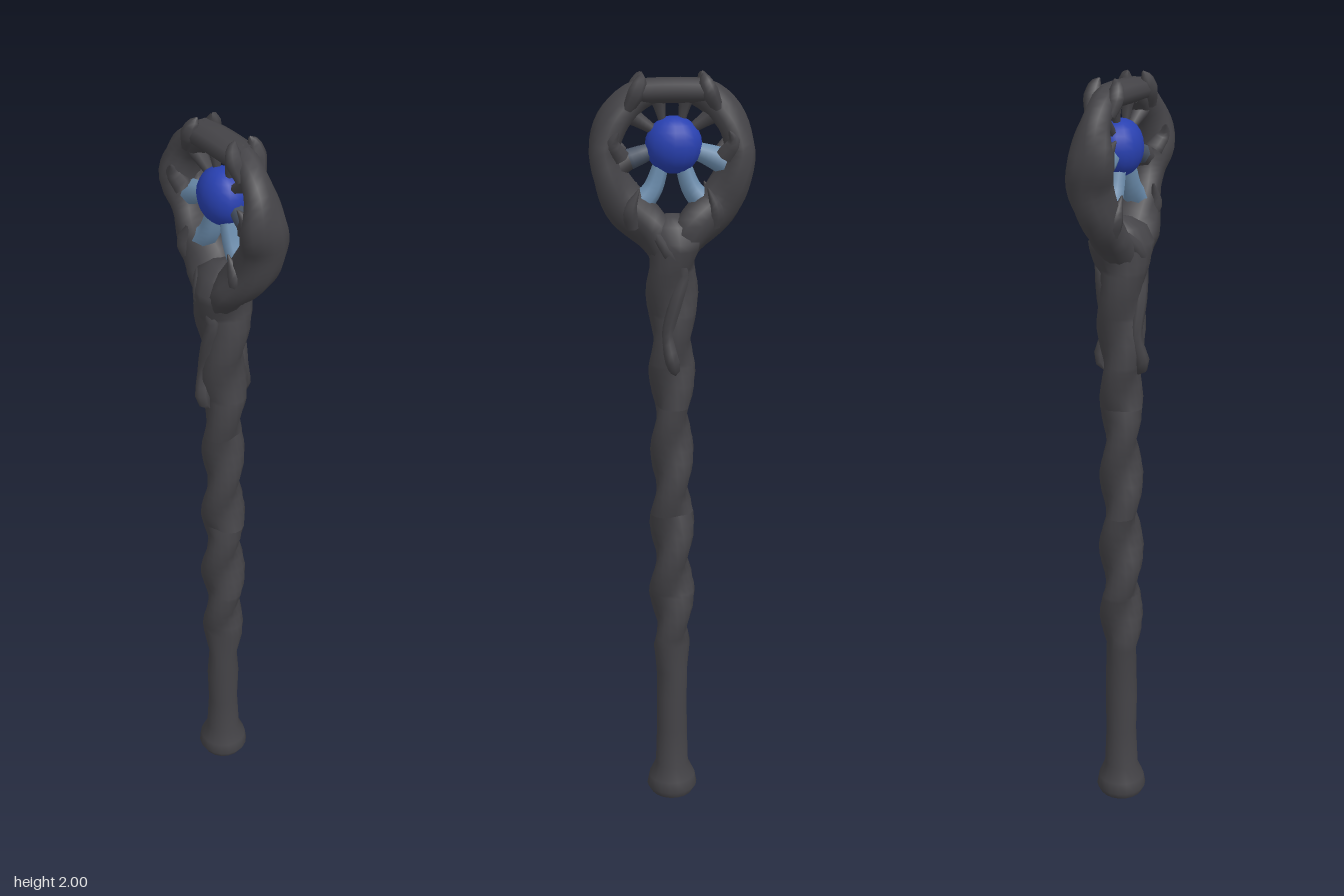
import * as THREE from 'three';
import { mergeVertices } from 'three/addons/utils/BufferGeometryUtils.js';

function material(name, color) {
  const m = new THREE.MeshStandardMaterial({ color });
  m.name = name;
  return m;
}
const wood = material('charred wood', 0x444347);
const sapphire = material('sapphire blue', 0x2840b0);
const crystal = material('pale crystal blue', 0x6a8bab);
const slate = material('slate blue', 0x475263);

// Linear interpolation through rows of [key, a, b, ...]
function sample(rows, key, column) {
  let i = 0;
  while (i < rows.length - 2 && key > rows[i + 1][0]) i++;
  const k = (key - rows[i][0]) / (rows[i + 1][0] - rows[i][0]);
  return THREE.MathUtils.lerp(rows[i][column], rows[i + 1][column], k);
}

// Tube through [x, y, z, radius] points, with optional twisted lumps and extra depth
function branch(name, points, mat, { steps = 8, sides = 7, lump = 0, turns = 0, depth = 1 } = {}) {
  const curve = new THREE.CatmullRomCurve3(points.map(p => new THREE.Vector3(p[0], p[1], p[2])));
  const geometry = new THREE.TubeGeometry(curve, steps, 1, sides);
  const position = geometry.attributes.position;
  const radii = points.map((p, i) => [i / (points.length - 1), p[3]]);
  const v = new THREE.Vector3();
  for (let j = 0; j <= steps; j++) {
    const u = j / steps, centre = curve.getPointAt(u);
    const radius = sample(radii, curve.getUtoTmapping(u), 1);
    for (let i = 0; i <= sides; i++) {
      const n = j * (sides + 1) + i, angle = i / sides * Math.PI * 2;
      const r = radius * (1 + lump * Math.cos(2 * angle + turns * Math.PI * 2 * u));
      v.fromBufferAttribute(position, n).sub(centre).multiplyScalar(r);
      v.z *= depth;
      v.add(centre);
      position.setXYZ(n, v.x, v.y, v.z);
    }
  }
  geometry.deleteAttribute('uv');
  geometry.deleteAttribute('normal');
  const merged = mergeVertices(geometry, 1e-5);
  merged.computeVertexNormals();
  const mesh = new THREE.Mesh(merged, mat);
  mesh.name = name;
  return mesh;
}

// Shaft: two-lobed cross-sections that twist on the way up
function shaft() {
  const rows = [ // height, lobe radius, waist radius
    [0, .058, .058], [.02, .07, .068], [.05, .065, .063], [.09, .047, .045], [.2, .042, .041],
    [.3, .045, .041], [.38, .043, .039], [.46, .056, .035], [.62, .062, .037], [.85, .06, .036],
    [1.15, .056, .037], [1.26, .062, .043], [1.4, .064, .048], [1.52, .073, .052], [1.59, .084, .064],
    [1.63, .072, .055], [1.65, .03, .025], [1.655, .001, .001],
  ];
  const heights = rows.map(r => r[0]);
  for (let y = .49; y < 1.6; y += .03) heights.push(y);
  heights.sort((a, b) => a - b);
  const sides = 18, positions = [], index = [];
  heights.forEach((y, j) => {
    const lobe = sample(rows, y, 1), waist = sample(rows, y, 2);
    const phase = (y - .62) * Math.PI / .205;
    for (let i = 0; i < sides; i++) {
      const a = i / sides * Math.PI * 2;
      const r = waist + (lobe - waist) * Math.abs(Math.cos(a - phase)) ** 1.5;
      positions.push(r * Math.cos(a), y, -r * Math.sin(a));
      if (j === heights.length - 1) continue;
      const n = j * sides + i, m = j * sides + (i + 1) % sides;
      index.push(n, m, n + sides, m, m + sides, n + sides);
    }
  });
  const geometry = new THREE.BufferGeometry();
  geometry.setAttribute('position', new THREE.Float32BufferAttribute(positions, 3));
  geometry.setIndex(index);
  geometry.computeVertexNormals();
  const mesh = new THREE.Mesh(geometry, wood);
  mesh.name = 'twistedShaft';
  return mesh;
}

export function createModel() {
  const model = new THREE.Group();
  model.name = 'staff';
  model.add(shaft());

  const foot = new THREE.Mesh(new THREE.CircleGeometry(.058, 18), wood);
  foot.name = 'footCap';
  foot.rotation.x = Math.PI / 2;
  model.add(foot);

  // Vines clinging to the front and back of the upper shaft
  for (const s of [1, -1]) {
    model.add(branch('clingingVine', [
      [.005 * s, 1.245, .045 * s, .002], [0, 1.272, .061 * s, .02], [-.014 * s, 1.35, .049 * s, .016],
      [.006 * s, 1.44, .05 * s, .018], [.022 * s, 1.51, .045 * s, .018], [-.01 * s, 1.57, .053 * s, .025],
      [-.05 * s, 1.62, .035 * s, .012],
    ], wood, { steps: 18 }));
  }

  // Head: two gnarled arms that meet a straight top bar
  for (const s of [1, -1]) {
    const side = s > 0 ? 'left' : 'right';
    model.add(branch(side + 'Arm', [
      [.015 * s, 1.55, 0, .045], [.055 * s, 1.615, .008 * s, .052], [.116 * s, 1.68, 0, .048],
      [.152 * s, 1.75, -.006, .044], [.167 * s, 1.815, .004, .046], [.146 * s, 1.885, 0, .039],
      [.1 * s, 1.935, 0, .034], [.06 * s, 1.955, 0, .03],
    ], wood, { steps: 26, sides: 12, lump: .17, turns: 1.6 * s, depth: 1.15 }));
    // Forked knobs and thorns on both faces
    for (const z of [-1, 1]) {
      model.add(branch('cornerKnob', [
        [.11 * s, 1.915, .026 * z, .014], [.09 * s, 1.955, .032 * z, .022],
        [.078 * s, 1.985, .028 * z, .016], [.074 * s, 2, .02 * z, .002],
      ], wood));
      model.add(branch('armThorn', [
        [.13 * s, 1.8, .024 * z, .025], [.15 * s, 1.835, .04 * z, .02], [.135 * s, 1.865, .056 * z, .002],
      ], wood));
      model.add(branch('lowerThorn', [
        [.1 * s, 1.63, .024 * z, .022], [.107 * s, 1.67, .04 * z, .02], [.085 * s, 1.725, .046 * z, .002],
      ], wood));
    }
    // Dark claws gripping the orb
    model.add(branch('upperClaw', [
      [.125 * s, 1.915, 0, .03], [.08 * s, 1.885, 0, .018], [.045 * s, 1.862, 0, .012],
    ], wood));
    model.add(branch('topTooth', [
      [.036 * s, 1.945, 0, .022], [.03 * s, 1.915, 0, .014], [.022 * s, 1.875, 0, .008],
    ], wood));
    // Pale crystal roots under the orb
    model.add(branch('lowerCrystal', [
      [.086 * s, 1.675, 0, .033], [.05 * s, 1.715, .002, .026], [.026 * s, 1.78, .004, .02],
    ], crystal, { depth: 1.15 }));
  }
  model.add(branch('topBar', [
    [-.09, 1.955, 0, .03], [-.03, 1.957, 0, .031], [.03, 1.957, 0, .031], [.09, 1.955, 0, .03],
  ], wood, { sides: 10, depth: 1.45 }));

  // Side supports: pale crystal on one side, a dark claw with a slate tip on the other
  model.add(branch('rightCrystal', [
    [-.145, 1.775, 0, .036], [-.1, 1.795, .004, .029], [-.045, 1.815, .004, .02],
  ], crystal));
  model.add(branch('leftClaw', [
    [.15, 1.77, 0, .036], [.115, 1.788, 0, .028], [.085, 1.8, 0, .023],
  ], wood));
  model.add(branch('leftClawTip', [
    [.105, 1.792, 0, .027], [.075, 1.803, 0, .024], [.045, 1.815, 0, .018],
  ], slate));

  const orb = new THREE.Mesh(new THREE.SphereGeometry(.071, 16, 12), sapphire);
  orb.name = 'orb';
  orb.position.set(-.004, 1.825, 0);
  orb.scale.z = .78;
  model.add(orb);
  return model;
}
